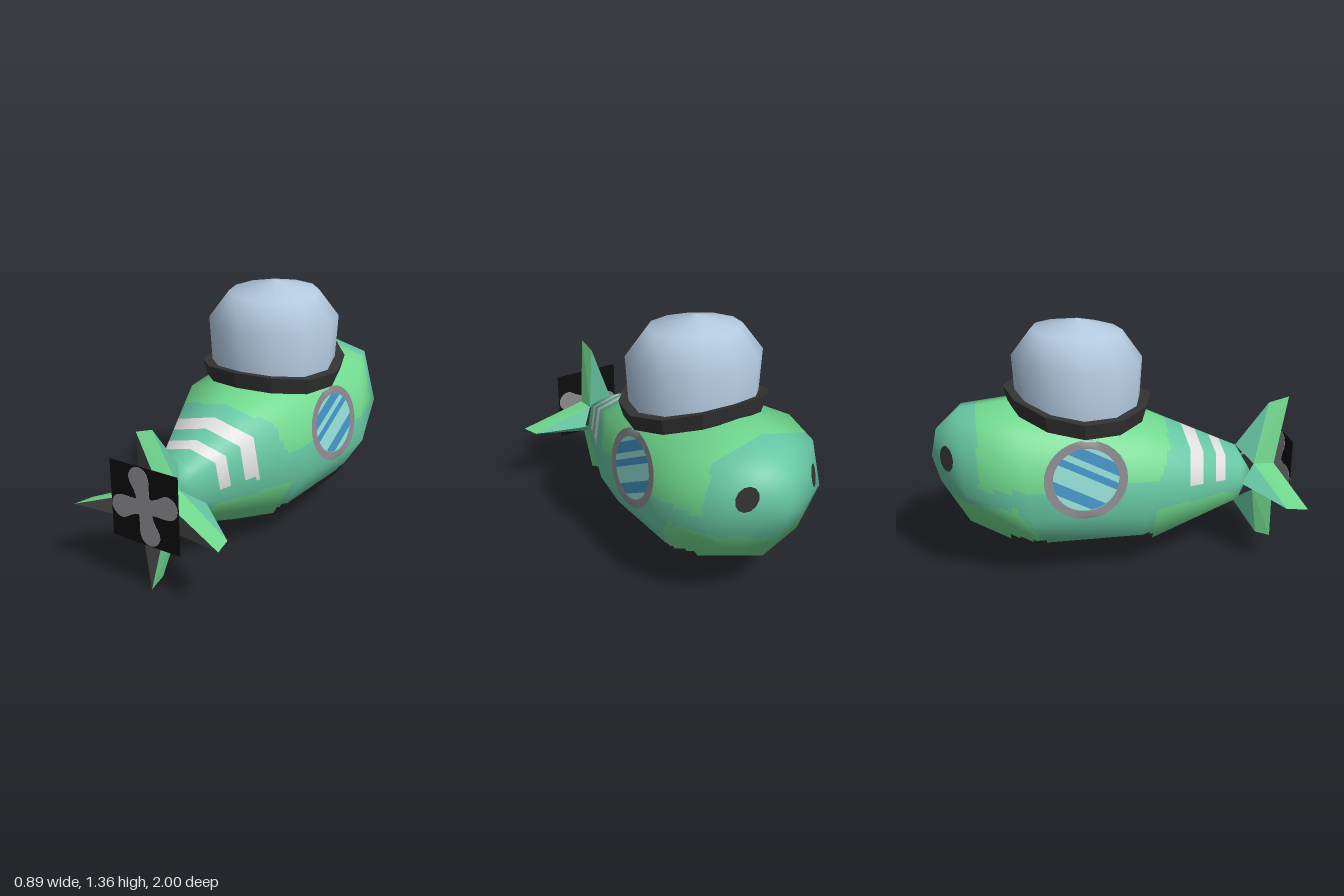
import * as THREE from 'three';
import { mergeVertices } from 'three/addons/utils/BufferGeometryUtils.js';

const mat = (name, color) => Object.assign(new THREE.MeshStandardMaterial({ color }), { name });

// Hull rings from tail to nose: bottom z, top z, bottom y, top y, half width, y of widest point, shoulder width
const RINGS = [
  [0.80, 0.80, 0.43, 0.43, 0.00, 0.43, 0.85],
  [0.70, 0.70, 0.26, 0.60, 0.15, 0.42, 0.80],
  [0.12, 0.12, 0.04, 0.86, 0.40, 0.41, 0.85],
  [-0.44, -0.55, 0.05, 0.93, 0.44, 0.41, 0.85],
  [-0.80, -0.84, 0.24, 0.90, 0.35, 0.55, 0.75],
  [-0.95, -0.97, 0.48, 0.78, 0.16, 0.63, 0.72],
  [-1.00, -1.00, 0.63, 0.63, 0.00, 0.63, 0.72],
];
const STEPS = [6, 29, 32, 20, 10, 6]; // fine rows between rings
const AROUND = 12;                    // fine columns per hull facet

// Eight points of one ring, from the keel up the left side and down the right
function ringPoints([zb, zt, yb, yt, w, ys, sh]) {
  const half = [[0, yb], [0.64 * w, yb + 0.3 * (ys - yb)], [w, ys], [sh * w, ys + 0.82 * (yt - ys)], [0, yt]];
  const all = half.concat(half.slice(1, 4).reverse().map(([x, y]) => [-x, y]));
  return all.map(([x, y]) => new THREE.Vector3(x, y, yt > yb ? zb + (zt - zb) * (y - yb) / (yt - yb) : zb));
}

// Paint scheme: 0 teal, 1 green, 2 dark keel, 3 pale stripes
function paint(y, z) {
  if (y > 0.47 && ((z > 0.54 && z < 0.60) || (z > 0.38 && z < 0.46))) return 3;
  if (z < 0.17 && z > -0.59 && y < 0.215 + Math.max(0, -0.3 - z) * 0.15) return 2;
  if (z > -0.75 && z < 0.2 + 0.35 * (y - 0.55) && y > 0.56) return 1;
  if (z > 0.17 && z < 0.68 && y < 0.39 - Math.max(0, z - 0.6) * 0.5) return 1;
  if (z < -0.43 && z > -0.9 && y < Math.min(0.47, 0.24 + (-0.43 - z) * 1.75)) return 1;
  return 0;
}

function hullGeometry() {
  // Coarse cage supplies the smooth normals
  const cage = RINGS.map(ringPoints);
  const coarse = new THREE.BufferGeometry().setFromPoints(cage.flat());
  const ci = [];
  for (let v = 0; v < 6; v++) for (let u = 0; u < 8; u++) {
    const a = v * 8 + u, b = v * 8 + (u + 1) % 8;
    ci.push(a, a + 8, b, b, a + 8, b + 8);
  }
  coarse.setIndex(ci);
  coarse.computeVertexNormals();
  const normalAt = (v, u) => v === 0 ? new THREE.Vector3(0, 0, 1) : v === 6 ? new THREE.Vector3(0, 0, -1)
    : new THREE.Vector3().fromBufferAttribute(coarse.attributes.normal, v * 8 + u);
  const blend = (get, v, u, s, t) => {
    const n = (u + 1) % 8;
    return get(v, u).clone().lerp(get(v, n), t).lerp(get(v + 1, u).clone().lerp(get(v + 1, n), t), s);
  };
  // Fine rows, so that the paint edges can follow the grid
  const pos = [], nor = [];
  const rows = STEPS.flatMap((n, v) => Array.from({ length: n }, (_, i) => [v, i / n]));
  rows.push([5, 1]);
  const cols = 8 * AROUND;
  for (const [v, s] of rows) for (let c = 0; c < cols; c++) {
    const u = Math.floor(c / AROUND), t = (c % AROUND) / AROUND;
    pos.push(blend((i, j) => cage[i][j], v, u, s, t));
    nor.push(blend(normalAt, v, u, s, t).normalize());
  }
  const sets = [[], [], [], []];
  for (let r = 0; r < rows.length - 1; r++) for (let c = 0; c < cols; c++) {
    const a = r * cols + c, b = r * cols + (c + 1) % cols, d = b + cols;
    const y = (pos[a].y + pos[d].y) / 2, z = (pos[a].z + pos[d].z) / 2;
    sets[paint(y, z)].push(a, a + cols, b, b, a + cols, d);
  }
  const geo = new THREE.BufferGeometry().setFromPoints(pos);
  geo.setAttribute('normal', new THREE.Float32BufferAttribute(nor.flatMap(n => n.toArray()), 3));
  geo.setIndex(sets.flat());
  let start = 0;
  sets.forEach((s, i) => { geo.addGroup(start, s.length, i); start += s.length; });
  return geo;
}

export function createModel() {
  const model = new THREE.Group();
  const teal = mat('teal', 0x66c5a3), green = mat('green', 0x6fd78d), dark = mat('dark', 0x333333);
  const pale = mat('pale', 0xdcdcdc), grey = mat('grey', 0x8a888c), dome = mat('domeGlass', 0xb2c8de);
  const glass = mat('windowGlass', 0x92dcd4), blue = mat('windowBlue', 0x4292c4);
  const black = mat('black', 0x0c0c0c), charcoal = mat('charcoal', 0x4a4a4a);
  const add = (name, geo, material, parent = model) => {
    const m = new THREE.Mesh(geo, material);
    m.name = name;
    parent.add(m);
    return m;
  };

  const hull = add('hull', hullGeometry(), [teal, green, dark, pale]);

  // Thin plates laid on both flanks; flat x runs towards the nose
  const ray = new THREE.Raycaster();
  function decal(name, flat, cz, cy, lift, material) {
    const left = mergeVertices(flat.deleteAttribute('uv').deleteAttribute('normal'));
    const p = left.attributes.position;
    for (let i = 0; i < p.count; i++) {
      const z = cz - p.getX(i), y = cy + p.getY(i);
      ray.set(new THREE.Vector3(2, y, z), new THREE.Vector3(-1, 0, 0));
      const hit = ray.intersectObject(hull)[0];
      p.setXYZ(i, (hit ? hit.point.x : 0.3) + lift, y, z);
    }
    const right = left.clone().scale(-1, 1, 1);
    right.setIndex(Array.from(left.index.array).reverse());
    [left, right].forEach((g, i) => {
      g.computeVertexNormals();
      add((i ? 'right' : 'left') + name, g, material);
    });
  }

  // Round side windows with slanted reflections
  decal('WindowRim', new THREE.RingGeometry(0.79, 1, 32, 2).scale(0.22, 0.205, 1), -0.2, 0.605, 0.007, grey);
  decal('WindowGlass', new THREE.RingGeometry(0.01, 1, 32, 4).scale(0.177, 0.164, 1), -0.2, 0.607, 0.004, glass);
  for (const [d1, d2] of [[-0.8, -0.45], [0.08, 0.3], [0.5, 0.85]]) {
    const band = new THREE.PlaneGeometry(2, 1, 12, 3), p = band.attributes.position;
    for (let i = 0; i < p.count; i++) {
      const d = d1 + (d2 - d1) * (p.getY(i) + 0.5);
      p.setXY(i, p.getX(i) * Math.sqrt(1 - d * d), d);
    }
    decal('WindowReflection', band.rotateZ(0.5).scale(0.174, 0.161, 1), -0.2, 0.607, 0.006, blue);
  }

  // Eyes
  decal('Eye', new THREE.RingGeometry(0.01, 1, 12, 2).scale(0.035, 0.065, 1), -0.91, 0.69, 0.005, dark);

  // Canopy: collar bent to sit on the back, and the dome
  const collar = new THREE.LatheGeometry([[0.3, -0.045], [0.375, -0.045], [0.4, 0.04], [0.34, 0.045], [0.3, -0.045]]
    .map(([x, y]) => new THREE.Vector2(x, y)), 12).toNonIndexed();
  const cp = collar.attributes.position;
  for (let i = 0; i < cp.count; i++) {
    const z = cp.getZ(i);
    cp.setY(i, cp.getY(i) + 0.862 + 0.45 * z * z - 0.092 * z);
  }
  collar.computeVertexNormals();
  add('canopyCollar', collar, dark).position.z = -0.2;
  const bubble = new THREE.LatheGeometry([[0.345, 0.87], [0.362, 1.16], [0.25, 1.307], [0, 1.365]]
    .map(([x, y]) => new THREE.Vector2(x, y)), 12);
  bubble.applyMatrix4(new THREE.Matrix4().set(1, 0, 0, 0, 0, 1, -0.05, 0, 0, 0, 0.975, 0, 0, 0, 0, 1));
  add('canopyDome', bubble, dome).position.z = -0.198;

  // Tail fins: sharp leading edge, thick root, dark trailing face
  function fin(name, angle, tipFront, tipBack, droop) {
    const group = new THREE.Group();
    group.name = name;
    group.position.y = 0.43;
    group.rotation.z = angle;
    model.add(group);
    const L = [0, 0.17, 0.70], F = [droop, ...tipFront], B = [droop, ...tipBack];
    const M = s => [s * 0.08, 0.08, 0.79], R = s => [s * 0.075, 0.075, 0.91];
    const facets = (part, tris, material) => {
      const geo = new THREE.BufferGeometry();
      geo.setAttribute('position', new THREE.Float32BufferAttribute(tris.flat(2), 3));
      geo.computeVertexNormals();
      add(part, geo, material, group);
    };
    facets('finFront', [[L, F, M(1)], [M(-1), F, L]], teal);
    facets('finRear', [[M(1), F, B], [M(1), B, R(1)], [B, F, M(-1)], [R(-1), B, M(-1)]], green);
    facets('finTrailingFace', [[R(-1), R(1), B]], charcoal);
  }
  fin('topFin', 0, [0.415, 0.885], [0.445, 1.0], 0);
  fin('bottomFin', Math.PI, [0.395, 0.85], [0.425, 0.94], 0);
  fin('leftFin', -Math.PI / 2, [0.42, 0.88], [0.445, 0.99], 0.05);
  fin('rightFin', Math.PI / 2, [0.42, 0.88], [0.445, 0.99], -0.05);
  add('tailHub', new THREE.BoxGeometry(0.15, 0.15, 0.12), charcoal).position.set(0, 0.43, 0.848);

  // Propeller: four swept blades showing on both faces of a black plate
  const prop = new THREE.Group();
  prop.name = 'propeller';
  prop.position.set(0, 0.475, 0.965);
  model.add(prop);
  add('propellerPlate', new THREE.BoxGeometry(0.41, 0.41, 0.004), black, prop);
  const blade = new THREE.Shape();
  blade.moveTo(0.045, 0);
  blade.bezierCurveTo(0.02, 0.08, 0.04, 0.1, 0.03, 0.15);
  blade.bezierCurveTo(0.02, 0.22, -0.075, 0.22, -0.09, 0.15);
  blade.bezierCurveTo(-0.095, 0.1, -0.04, 0.09, -0.045, 0);
  const bladeGeo = new THREE.ExtrudeGeometry(blade, { depth: 0.008, bevelEnabled: false, curveSegments: 8 });
  bladeGeo.translate(0, 0, -0.004);
  for (let i = 0; i < 4; i++) add('propellerBlade', bladeGeo, grey, prop).rotation.z = i * Math.PI / 2;

  return model;
}
